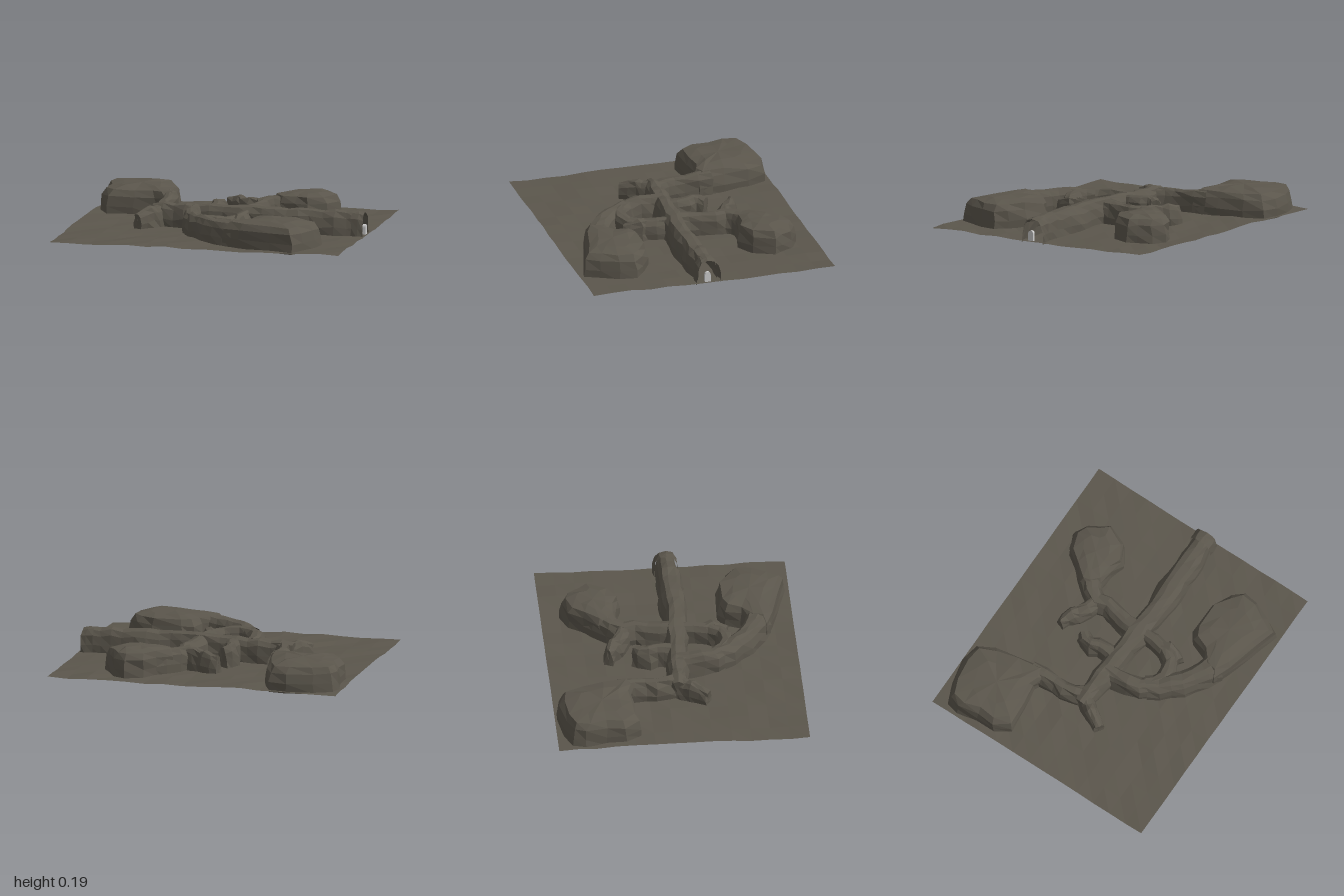
import * as THREE from 'three';

const rock = new THREE.MeshStandardMaterial({ color: 0x5b564c, flatShading: true, side: THREE.DoubleSide });
const pale = new THREE.MeshStandardMaterial({ color: 0xcccccc });

// Repeatable roughness in the range -1 to 1
function makeNoise(seed) {
  let s = seed;
  return () => {
    s = (s * 16807) % 2147483647;
    return (s / 2147483647) * 2 - 1;
  };
}

// Skin between successive rings holding equal numbers of points
function loft(rings, closed) {
  const n = rings[0].length, index = [];
  for (let i = 0; i < rings.length - 1; i++) {
    for (let j = 0; j < (closed ? n : n - 1); j++) {
      const k = (j + 1) % n;
      const a = i * n + j, b = i * n + k, c = a + n, d = b + n;
      index.push(a, b, d, a, d, c);
    }
  }
  const geo = new THREE.BufferGeometry().setFromPoints(rings.flat());
  geo.setIndex(index);
  geo.computeVertexNormals();
  return geo;
}

function add(group, name, geo, material = rock) {
  const mesh = new THREE.Mesh(geo, material);
  mesh.name = name;
  group.add(mesh);
  return mesh;
}

// Half arch section of a passage: sideways factor, height factor
const ARCH = [[-1, 0], [-0.97, 0.42], [-0.8, 0.78], [-0.45, 0.98], [0.1, 1.02], [0.55, 0.96], [0.82, 0.76], [0.98, 0.4], [1, 0]];

// Passage along [x, z, half width, height] stations; a stub gets a closed tip
function passage(stations, seed, { stub = false, rough = 0.008, step = 0.085 } = {}) {
  const noise = makeNoise(seed);
  const curve = new THREE.CatmullRomCurve3(stations.map(([x, z]) => new THREE.Vector3(x, 0, z)));
  const count = Math.max(2, Math.round(curve.getLength() / step));
  const rings = [];
  for (let i = 0; i <= count; i++) {
    const t = i / count, f = t * (stations.length - 1);
    const a = stations[Math.floor(f)], b = stations[Math.ceil(f)], m = f % 1;
    const w = THREE.MathUtils.lerp(a[2], b[2], m), h = THREE.MathUtils.lerp(a[3], b[3], m);
    const p = curve.getPoint(t), dir = curve.getTangent(t);
    const swell = 1 + noise() * 0.08, lift = noise() * 0.008;
    rings.push(ARCH.map(([u, v]) => new THREE.Vector3(
      p.x - dir.z * u * w * swell + noise() * rough,
      v === 0 ? 0.006 : v * h + lift + noise() * rough * 0.5,
      p.z + dir.x * u * w * swell + noise() * rough)));
  }
  if (stub) {
    const end = curve.getPoint(1);
    rings.push(ARCH.map(([, v]) => new THREE.Vector3(end.x, 0.006 + v * 0.07, end.z)));
  }
  return loft(rings, false);
}

// Chamber: floor outline drawn inwards through steep walls to a shallow roof
const WALL = [[1, 0.006], [0.985, 0.07], [0.95, 0.135], [0.84, 0.178], [0.5, 0.195], [0, 0.2]];

function chamber(outline, seed) {
  const noise = makeNoise(seed);
  const cx = outline.reduce((s, p) => s + p[0], 0) / outline.length;
  const cz = outline.reduce((s, p) => s + p[1], 0) / outline.length;
  const rings = WALL.map(([k, y], i) => outline.map(([x, z]) => {
    const r = i > 0 && k > 0 ? 0.009 : 0;
    return new THREE.Vector3(
      cx + (x - cx) * k + noise() * r, y + noise() * r * 0.6, cz + (z - cz) * k + noise() * r);
  }));
  return loft(rings, true);
}

export function createModel() {
  const group = new THREE.Group();
  group.name = 'caveSystem';

  // Gently uneven ground sheet
  const ground = new THREE.PlaneGeometry(2, 1.69, 15, 13).rotateX(-Math.PI / 2);
  const noise = makeNoise(77);
  const pos = ground.attributes.position;
  for (let i = 0; i < pos.count; i++) {
    const wave = Math.sin(pos.getX(i) * 5) * Math.cos(pos.getZ(i) * 4) * 0.004;
    pos.setY(i, 0.021 + wave + noise() * 0.006);
  }
  add(group, 'ground', ground);

  // Chambers
  add(group, 'backRightChamber', chamber([
    [-0.98, -0.66], [-0.96, -0.75], [-0.84, -0.8], [-0.65, -0.83], [-0.53, -0.81], [-0.47, -0.68],
    [-0.43, -0.5], [-0.395, -0.31], [-0.47, -0.28], [-0.55, -0.32], [-0.7, -0.3], [-0.88, -0.28],
    [-0.95, -0.38], [-0.95, -0.52]], 11));
  add(group, 'backLeftChamber', chamber([
    [0.22, -0.47], [0.31, -0.57], [0.38, -0.67], [0.5, -0.72], [0.59, -0.67], [0.64, -0.58],
    [0.69, -0.52], [0.62, -0.38], [0.5, -0.31], [0.4, -0.34], [0.29, -0.35], [0.22, -0.4]], 23));
  add(group, 'frontLeftChamber', chamber([
    [0.16, 0.56], [0.27, 0.49], [0.31, 0.38], [0.38, 0.335], [0.6, 0.345], [0.72, 0.42],
    [0.8, 0.48], [0.78, 0.6], [0.72, 0.72], [0.67, 0.82], [0.5, 0.77], [0.27, 0.7], [0.15, 0.65]], 37));

  // Passages
  add(group, 'mainTunnel', passage([
    [0.94, 0.035, 0.075, 0.175], [0.75, 0.05, 0.085, 0.175], [0.55, 0.045, 0.085, 0.18], [0.35, 0.055, 0.085, 0.18],
    [0.15, 0.04, 0.08, 0.175], [-0.1, 0.025, 0.075, 0.17], [-0.3, 0.015, 0.07, 0.17], [-0.48, 0.0, 0.06, 0.16]], 5, { stub: true }));
  add(group, 'backRightTunnel', passage([
    [-0.4, 0.0, 0.065, 0.165], [-0.45, -0.12, 0.06, 0.16], [-0.45, -0.24, 0.055, 0.165], [-0.47, -0.4, 0.07, 0.17]], 8));
  add(group, 'backLeftTunnel', passage([
    [0.16, 0.02, 0.085, 0.17], [0.17, -0.1, 0.065, 0.165], [0.2, -0.22, 0.06, 0.17], [0.19, -0.32, 0.07, 0.165],
    [0.27, -0.42, 0.085, 0.17], [0.4, -0.5, 0.12, 0.175]], 13));
  add(group, 'loopTunnel', passage([
    [-0.19, 0.02, 0.07, 0.17], [-0.185, 0.16, 0.065, 0.17], [-0.14, 0.29, 0.07, 0.165], [-0.03, 0.365, 0.06, 0.165],
    [0.09, 0.345, 0.055, 0.16], [0.16, 0.24, 0.05, 0.16], [0.175, 0.04, 0.05, 0.165]], 17));
  add(group, 'frontLeftTunnel', passage([
    [-0.13, 0.3, 0.075, 0.165], [-0.03, 0.43, 0.075, 0.17], [0.09, 0.53, 0.08, 0.17], [0.25, 0.6, 0.1, 0.175]], 29));

  // Blind side passages
  const stubs = {
    rightStub: [[-0.44, 0.02, 0.06, 0.16], [-0.49, 0.1, 0.05, 0.15], [-0.55, 0.2, 0.035, 0.12]],
    middleStub: [[-0.08, 0.02, 0.07, 0.165], [-0.065, -0.1, 0.055, 0.16], [-0.1, -0.19, 0.055, 0.17], [-0.055, -0.25, 0.05, 0.15]],
    backStub: [[0.18, -0.31, 0.06, 0.16], [0.06, -0.36, 0.05, 0.16], [0.0, -0.41, 0.05, 0.16], [-0.08, -0.43, 0.03, 0.14]],
    loopStub: [[0.15, 0.23, 0.055, 0.16], [0.18, 0.31, 0.05, 0.155], [0.14, 0.38, 0.035, 0.12]],
  };
  Object.entries(stubs).forEach(([name, path], i) =>
    add(group, name, passage(path, 41 + i * 7, { stub: true, step: 0.06 })));

  // Rough hood around the open mouth
  add(group, 'entranceHood', passage([
    [0.905, 0.035, 0.09, 0.185], [0.95, 0.035, 0.084, 0.175], [0.985, 0.035, 0.08, 0.17]], 61, { step: 0.04, rough: 0.006 }));

  // Pale round-topped marker standing in the mouth
  const shape = new THREE.Shape();
  shape.moveTo(-0.02, 0).lineTo(0.02, 0).lineTo(0.02, 0.05);
  shape.absarc(0, 0.05, 0.02, 0, Math.PI, false);
  const marker = add(group, 'entranceMarker',
    new THREE.ExtrudeGeometry(shape, { depth: 0.02, bevelEnabled: false, curveSegments: 6 }), pale);
  marker.rotation.y = Math.PI / 2;
  marker.position.set(0.975, 0.022, 0.045);

  return group;
}
